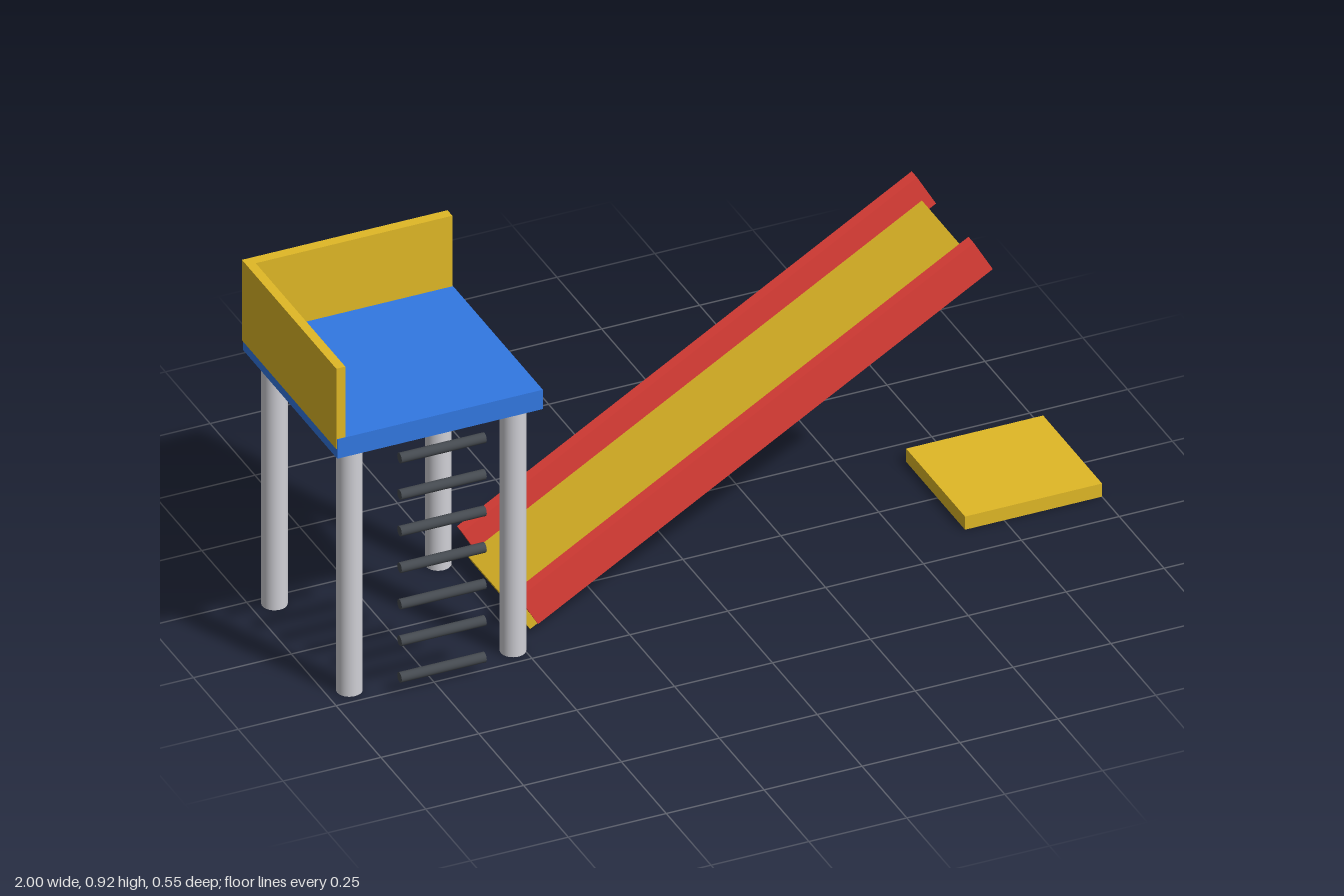
import * as THREE from 'three';

const mat = (name, color) => {
  const m = new THREE.MeshStandardMaterial({ color });
  m.name = name;
  return m;
};

export function createModel() {
  const yellow = mat('yellow', 0xe0b826);
  const blue = mat('blue', 0x3278e2);
  const red = mat('red', 0xe33f38);
  const grey = mat('lightGrey', 0xd0d0d6);
  const dark = mat('darkGrey', 0x454a50);

  const model = new THREE.Group();
  model.name = 'playgroundSlide';

  const add = (parent, name, geometry, material, x, y, z) => {
    const mesh = new THREE.Mesh(geometry, material);
    mesh.name = name;
    mesh.position.set(x, y, z);
    parent.add(mesh);
    return mesh;
  };
  // Box given by its minimum and maximum corners
  const box = (parent, name, material, [x0, y0, z0], [x1, y1, z1]) =>
    add(parent, name, new THREE.BoxGeometry(x1 - x0, y1 - y0, z1 - z0), material,
      (x0 + x1) / 2, (y0 + y1) / 2, (z0 + z1) / 2);

  // Tower: platform with a wall on the back and on the outer side
  const tower = new THREE.Group();
  tower.name = 'tower';
  model.add(tower);
  box(tower, 'platform', blue, [-0.998, 0.676, -0.273], [-0.473, 0.729, 0.252]);
  box(tower, 'backWall', yellow, [-0.977, 0.702, -0.276], [-0.475, 0.922, -0.249]);
  box(tower, 'sideWall', yellow, [-1, 0.702, -0.276], [-0.977, 0.922, 0.251]);

  // Four round legs
  const legGeometry = new THREE.CylinderGeometry(0.031, 0.031, 0.69, 32);
  for (const x of [-0.943, -0.525]) {
    for (const z of [-0.219, 0.199]) add(tower, 'leg', legGeometry, grey, x, 0.345, z);
  }

  // Ladder rungs on the front
  const rungGeometry = new THREE.CylinderGeometry(0.0128, 0.0128, 0.217, 20);
  for (let i = 0; i < 7; i++) {
    add(tower, 'rung', rungGeometry, dark, -0.736, 0.045 + i * 0.1, 0.264).rotation.z = Math.PI / 2;
  }

  // Sloping slide: bed between two rails
  const slide = new THREE.Group();
  slide.name = 'slide';
  slide.position.set(0.112, 0.4075, -0.0105);
  slide.rotation.z = Math.PI / 6;
  model.add(slide);
  add(slide, 'slideBed', new THREE.BoxGeometry(1.34, 0.038, 0.329), yellow, -0.022, -0.034, 0);
  for (const side of [-1, 1]) {
    add(slide, 'slideRail', new THREE.BoxGeometry(1.341, 0.097, 0.03), red, 0, 0, side * 0.1585);
  }

  // Pad on the ground
  box(model, 'groundPad', yellow, [0.65, 0, -0.175], [1, 0.036, 0.154]);

  return model;
}
